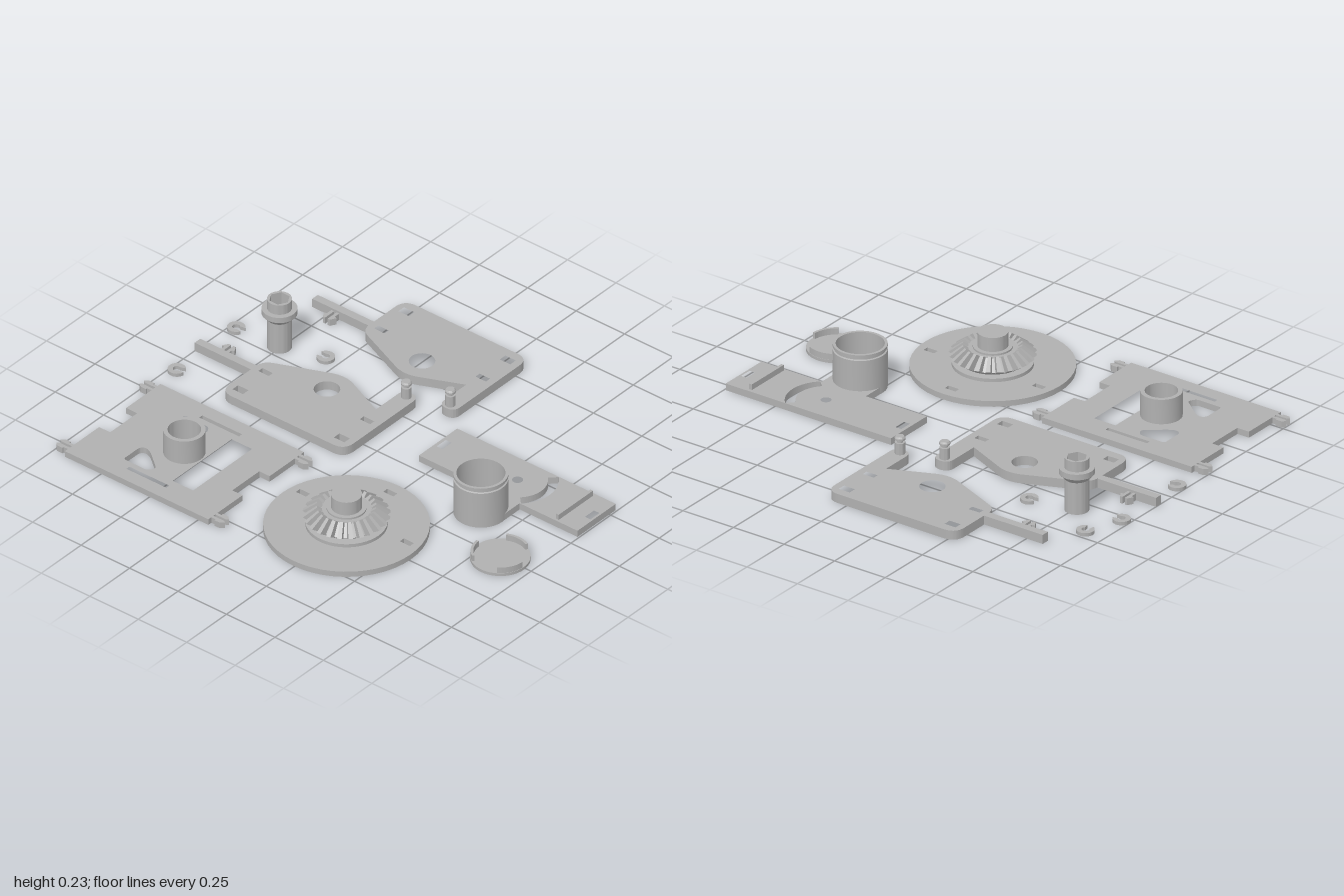
import * as THREE from 'three';
import { toCreasedNormals } from 'three/addons/utils/BufferGeometryUtils.js';

const grey = new THREE.MeshStandardMaterial({ color: 0xb0b0b0 });
grey.name = 'plastic grey';

function add(parent, name, geo, x = 0, y = 0, z = 0) {
  const m = new THREE.Mesh(toCreasedNormals(geo, 0.5), grey);
  m.name = name;
  m.position.set(x, y, z);
  parent.add(m);
  return m;
}

// Closed outline from [x, z, cornerRadius] points seen from above
function outline(pts, path = new THREE.Shape()) {
  const v = pts.map(([x, z]) => new THREE.Vector2(x, -z));
  v.forEach((p, i) => {
    const r = pts[i][2] || 0;
    const toward = (q) => p.clone().add(q.clone().sub(p).setLength(r));
    const a = r ? toward(v.at(i - 1)) : p;
    if (i) path.lineTo(a.x, a.y); else path.moveTo(a.x, a.y);
    if (r) {
      const b = toward(v[(i + 1) % v.length]);
      path.quadraticCurveTo(p.x, p.y, b.x, b.y);
    }
  });
  path.closePath();
  return path;
}
const rect = (x0, x1, z0, z1) => [[x0, z0], [x1, z0], [x1, z1], [x0, z1]];
const hole = (pts) => outline(pts, new THREE.Path());
const roundHole = (x, z, r) => new THREE.Path().absarc(x, -z, r, 0, Math.PI * 2, true);
const disc = (x, z, r) => new THREE.Shape().absarc(x, -z, r, 0, Math.PI * 2);

// Upright slab from an outline
function slab(shape, height, holes = []) {
  shape.holes.push(...holes);
  const g = new THREE.ExtrudeGeometry(shape, { depth: height, bevelEnabled: false, curveSegments: 24 });
  return g.rotateX(-Math.PI / 2);
}
const lathe = (pts) => new THREE.LatheGeometry(pts.map((p) => new THREE.Vector2(...p)), 48);

// Side plate with arms, snap prongs and a pin; f places the outline points
function sidePlate(name, f) {
  const g = new THREE.Group();
  g.name = name;
  const map = (pts) => pts.map(([x, z, r]) => [...f(x, z), r]);
  const body = outline(map([
    [-0.54, -0.83, 0.06], [0.1, -0.83, 0.06], [0.1, -0.36, 0.04], [0.02, -0.36, 0.04],
    [0.02, -0.535], [-0.19, -0.443, 0.03], [-0.25, -0.443, 0.03], [-0.54, -0.565, 0.045],
    [-0.54, -0.603], [-0.83, -0.603], [-0.83, -0.638], [-0.54, -0.638],
  ]));
  const holes = [roundHole(...f(-0.22, -0.55), 0.053)];
  for (const x of [-0.483, 0.04]) {
    holes.push(hole(map(rect(x - 0.027, x + 0.027, -0.79, -0.755))));
    holes.push(hole(map(rect(x - 0.027, x + 0.027, -0.628, -0.602))));
  }
  add(g, 'plate', slab(body, 0.04, holes));
  for (const s of [-1, 1]) {
    const prong = [[0.006, -0.603], [0.02, -0.603], [0.02, -0.575], [0.032, -0.572], [0.018, -0.547], [0.006, -0.547]];
    add(g, 'snapProng', slab(outline(map(prong.map(([x, z]) => [-0.711 + s * x, z]))), 0.03));
  }
  const [px, pz] = f(0.058, -0.39);
  add(g, 'pin', lathe([[0, 0], [0.021, 0], [0.021, 0.05], [0.012, 0.05], [0.012, 0.06],
    [0.022, 0.062], [0.022, 0.07], [0.017, 0.077], [0, 0.077]]), px, 0.04, pz);
  return g;
}

// Frame plate with windows, corner clips and a tube
function framePlate() {
  const g = new THREE.Group();
  g.name = 'framePlate';
  const body = outline([[-0.937, 0.22], [-0.197, 0.22], [-0.197, 0.435], [-0.25, 0.435], [-0.25, 0.605], [-0.197, 0.605],
    [-0.197, 0.82], [-0.937, 0.82], [-0.937, 0.605], [-0.88, 0.605], [-0.88, 0.435], [-0.937, 0.435]]);
  const holes = [hole(rect(-0.475, -0.37, 0.335, 0.705)), roundHole(-0.567, 0.52, 0.067)];
  for (const s of [-1, 1]) {
    holes.push(hole(rect(-0.67, -0.465, 0.52 + s * 0.219, 0.52 + s * 0.238)));
    const tri = [[-0.723, 0.193, 0.015], [-0.6, 0.193, 0.015], [-0.58, 0.16, 0.015], [-0.665, 0.092, 0.01], [-0.7, 0.075, 0.015], [-0.723, 0.09, 0.015]];
    holes.push(hole(tri.map(([x, z, r]) => [x, 0.52 + s * z, r])));
    for (const [edge, out] of [[-0.937, -1], [-0.197, 1]]) {
      for (const t of [-1, 1]) {
        const prong = [[0, 0.006], [0.055, 0.006], [0.065, 0.013], [0.05, 0.027], [0.022, 0.027], [0.022, 0.019], [0, 0.019]];
        add(g, 'cornerClip', slab(outline(prong.map(([x, z]) => [edge + out * x, 0.52 + s * 0.262 + t * z])), 0.027));
      }
    }
  }
  add(g, 'plate', slab(body, 0.027, holes));
  add(g, 'tube', slab(disc(0, 0, 0.085), 0.11, [roundHole(0, 0, 0.067)]), -0.567, 0.026, 0.52);
  return g;
}

// Round turntable carrying a bevel gear
function turntable() {
  const g = new THREE.Group();
  g.name = 'turntable';
  const slot = (x, z) => hole(rect(x - 0.026, x + 0.026, z - 0.013, z + 0.013));
  add(g, 'disc', slab(disc(0, 0, 0.333), 0.025, [slot(0, -0.275), slot(-0.268, -0.053), slot(0.268, -0.053)]));
  add(g, 'gearCore', lathe([[0, 0.025], [0.165, 0.025], [0.165, 0.04], [0.132, 0.042], [0.145, 0.055],
    [0.102, 0.1], [0.08, 0.1], [0.08, 0.108], [0.062, 0.108], [0.062, 0.17], [0, 0.17]]));
  const teeth = 24;
  for (let i = 0; i < teeth; i++) {
    const profile = new THREE.Shape([[0.13, 0.042], [0.176, 0.073], [0.119, 0.115], [0.095, 0.098]].map((p) => new THREE.Vector2(...p)));
    const geo = new THREE.ExtrudeGeometry(profile, { depth: 0.03, bevelEnabled: false });
    geo.translate(0, 0, -0.015);
    // Narrow each tooth towards the axis and towards its tip
    const p = geo.attributes.position;
    for (let k = 0; k < p.count; k++) {
      const r = p.getX(k);
      const tip = r + 0.75 * p.getY(k) > 0.19 ? 0.6 : 1.1;
      p.setZ(k, p.getZ(k) * tip * r / 0.165);
    }
    add(g, 'gearTooth', geo).rotation.y = (i / teeth) * Math.PI * 2;
  }
  g.position.set(0.245, 0, 0.49);
  return g;
}

// Slotted strip with a round cup on a short neck
function motorMount() {
  const g = new THREE.Group();
  g.name = 'cupMount';
  const body = outline([[0.175, -0.29], [0.993, -0.29], [0.993, -0.05], [0.694, -0.05], [0.694, 0.06], [0.476, 0.06], [0.476, -0.05], [0.175, -0.05]]);
  const arc = new THREE.Path();
  arc.absarc(0.585, 0.17, 0.165, -0.8, 0.8, false);
  arc.absarc(0.585, 0.17, 0.122, 0.8, -0.8, true);
  arc.closePath();
  add(g, 'strip', slab(body, 0.03, [arc, roundHole(0.585, -0.17, 0.022),
    hole(rect(0.19, 0.22, -0.2, -0.143)), hole(rect(0.955, 0.983, -0.2, -0.143))]));
  add(g, 'stopBar', new THREE.BoxGeometry(0.013, 0.03, 0.215), 0.881, 0.04, -0.168);
  add(g, 'cup', lathe([[0, 0], [0.11, 0], [0.11, 0.165], [0.104, 0.168], [0.104, 0.175], [0.11, 0.178],
    [0.11, 0.19], [0.098, 0.19], [0.098, 0.032], [0, 0.032]]), 0.585, 0, 0.06);
  return g;
}

// Cup lid with three curved tabs
function lid() {
  const g = new THREE.Group();
  g.name = 'lid';
  add(g, 'lidDisc', slab(disc(0, 0, 0.121), 0.013));
  for (let i = 0; i < 3; i++) {
    const a = Math.PI / 2 + i * Math.PI * 2 / 3;
    const tab = new THREE.Shape();
    tab.absarc(0, 0, 0.119, a - 0.48, a + 0.48, false);
    tab.absarc(0, 0, 0.108, a + 0.48, a - 0.48, true);
    add(g, 'lidTab', slab(tab, 0.028), 0, 0.012, 0);
  }
  g.position.set(0.85, 0, 0.26);
  return g;
}

// Flanged sleeve with a hexagonal bore
function sleeve() {
  const g = new THREE.Group();
  g.name = 'hexSleeve';
  const hex = Array.from({ length: 6 }, (_, i) => [0.043 * Math.cos(i * Math.PI / 3), 0.043 * Math.sin(i * Math.PI / 3)]);
  add(g, 'sleeveBody', slab(disc(0, 0, 0.05), 0.235, [hole(hex)]));
  add(g, 'flange', lathe([[0.049, 0.14], [0.072, 0.165], [0.072, 0.19], [0.049, 0.19]]));
  g.position.set(-0.758, 0, -0.31);
  return g;
}

export function createModel() {
  const model = new THREE.Group();
  model.name = 'mechanismKit';
  model.add(sidePlate('rearSidePlate', (x, z) => [x, z]));
  model.add(sidePlate('frontSidePlate', (x, z) => [x - 0.17, -0.71 - z]));
  model.add(framePlate(), turntable(), motorMount(), lid(), sleeve());
  // Loose retaining clips: x, z and the direction of the opening
  for (const [x, z, a] of [[-0.907, -0.455, -Math.PI / 2], [-0.965, -0.29, 0], [-0.56, -0.36, Math.PI], [-0.965, 0.083, 0.3]]) {
    const ring = new THREE.Shape();
    ring.absarc(0, 0, 0.037, 0.4, Math.PI * 2 - 0.4, false);
    ring.absarc(0, 0, 0.016, Math.PI * 2 - 0.8, 0.8, true);
    add(model, 'retainingClip', slab(ring, 0.015), x, 0, z).rotation.y = a;
  }
  return model;
}
